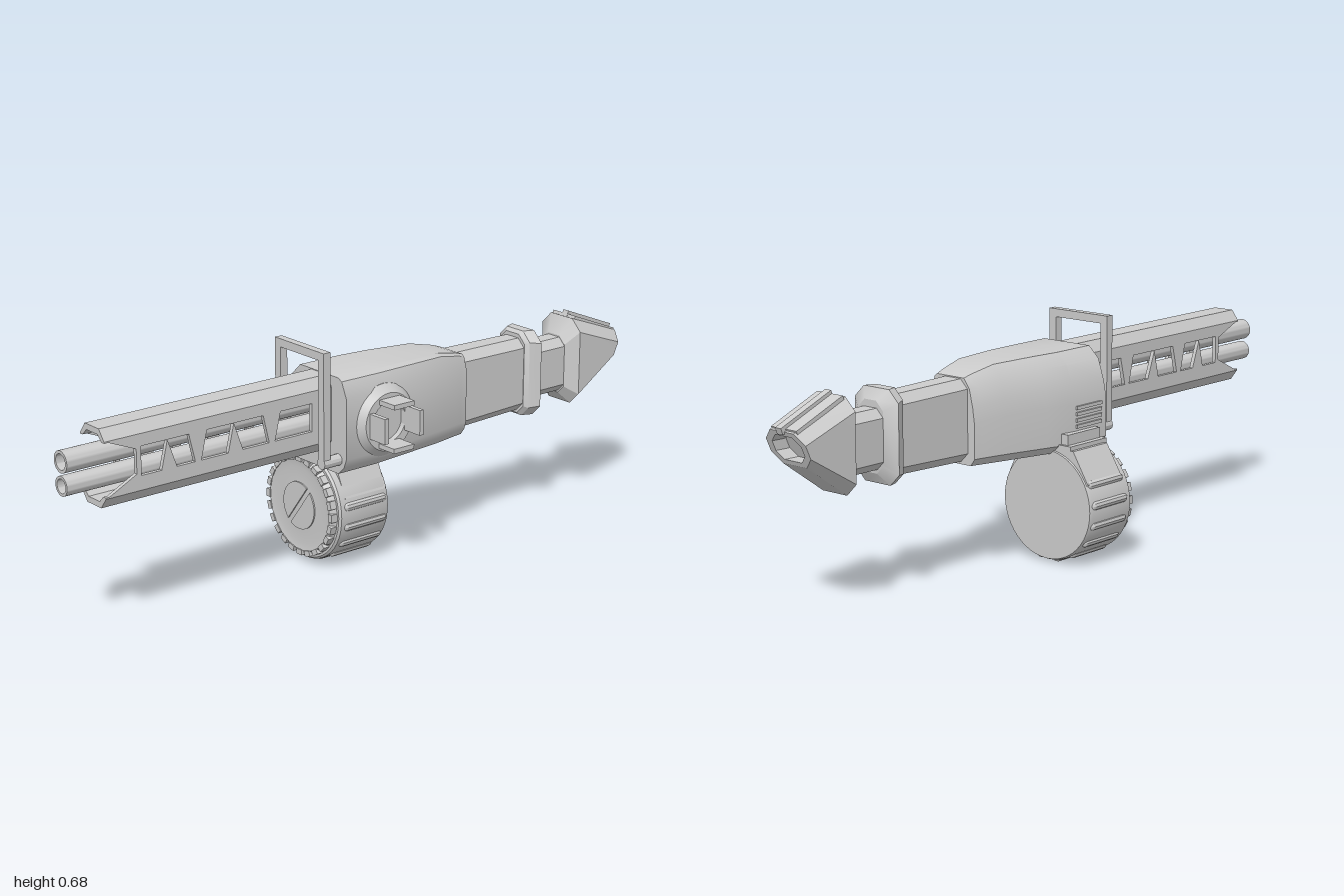
import * as THREE from 'three';
import { toCreasedNormals } from 'three/addons/utils/BufferGeometryUtils.js';

const CX = 0.034; // long axis of barrel, receiver and stock
const material = new THREE.MeshStandardMaterial({ color: 0xcccccc, side: THREE.DoubleSide });

function add(parent, name, geometry, x = 0, y = 0, z = 0) {
  const mesh = new THREE.Mesh(toCreasedNormals(geometry, 0.5), material);
  mesh.name = name;
  mesh.position.set(x, y, z);
  parent.add(mesh);
  return mesh;
}

const box = (w, h, d) => new THREE.BoxGeometry(w, h, d);
const rod = (r, length, sides = 24) => new THREE.CylinderGeometry(r, r, length, sides).rotateX(Math.PI / 2);
const polygon = (pts) => new THREE.Shape(pts.map(([x, y]) => new THREE.Vector2(x, y)));
const extrude = (shape, depth) => new THREE.ExtrudeGeometry(shape, { depth, bevelEnabled: false, curveSegments: 32 });

// Chamfered rectangle, counter-clockwise seen from +z; tilt leans the ring
function ring(z, x0, x1, y0, y1, c, tilt = 0) {
  return [[x1, y0 + c], [x1, y1 - c], [x1 - c, y1], [x0 + c, y1], [x0, y1 - c], [x0, y0 + c], [x0 + c, y0], [x1 - c, y0]]
    .map(([x, y]) => [x, y, z + tilt * (y - (y0 + y1) / 2)]);
}

// Skin between rings ordered from front to back, with end caps
function loft(rings) {
  const p = [];
  const n = rings[0].length;
  for (let i = 0; i < rings.length - 1; i++) {
    for (let k = 0; k < n; k++) {
      const a = rings[i][k], b = rings[i][(k + 1) % n];
      const c = rings[i + 1][k], d = rings[i + 1][(k + 1) % n];
      p.push(...a, ...c, ...b, ...b, ...c, ...d);
    }
  }
  const first = rings[0], last = rings[rings.length - 1];
  for (let k = 1; k < n - 1; k++) {
    p.push(...first[0], ...first[k], ...first[k + 1], ...last[0], ...last[k + 1], ...last[k]);
  }
  const g = new THREE.BufferGeometry();
  g.setAttribute('position', new THREE.Float32BufferAttribute(p, 3));
  return g;
}

function buildReceiver(root) {
  const section = [[0.155, 0.37], [0.155, 0.55], [0.135, 0.595], [0.12, 0.603], [-0.05, 0.603], [-0.085, 0.57],
    [-0.105, 0.51], [-0.115, 0.46], [-0.115, 0.345], [-0.09, 0.321], [0.12, 0.321], [0.145, 0.345]];
  // each row: z, left x, right x, bottom y, top y
  const rows = [[0.14, -0.115, 0.155, 0.321, 0.603], [0, -0.115, 0.155, 0.321, 0.603], [-0.1, -0.1, 0.15, 0.325, 0.603],
    [-0.24, -0.07, 0.135, 0.328, 0.6], [-0.32, -0.052, 0.12, 0.33, 0.583], [-0.345, -0.045, 0.115, 0.33, 0.575]];
  add(root, 'receiver', loft(rows.map(([z, x0, x1, y0, y1]) => section.map(([x, y]) => [
    x0 + (x + 0.115) / 0.27 * (x1 - x0), y0 + (y - 0.321) / 0.282 * (y1 - y0), z]))));
}

function buildBarrels(root) {
  const g = new THREE.Group();
  g.name = 'barrelAssembly';
  root.add(g);
  // side walls with a notched muzzle end and slanted vents
  const wall = polygon([[0.13, 0.415], [0.89, 0.415], [0.8, 0.46], [0.8, 0.53], [0.89, 0.567], [0.13, 0.567]]);
  const vents = [[0.21, 0.34, 0.21, 0.32], [0.36, 0.45, 0.38, 0.48], [0.5, 0.59, 0.48, 0.57], [0.61, 0.67, 0.63, 0.7], [0.72, 0.785, 0.7, 0.785]];
  for (const [a, b, c, d] of vents) wall.holes.push(polygon([[a, 0.453], [b, 0.453], [d, 0.535], [c, 0.535]]));
  for (const x of [CX - 0.056, CX + 0.044]) {
    add(g, 'shroudWall', extrude(wall, 0.012).rotateY(-Math.PI / 2).translate(0.012, 0, 0), x);
  }
  // chamfered channels along the top and bottom
  const channel = polygon([[-0.056, 0], [-0.056, 0.004], [-0.033, 0.035], [0.033, 0.035], [0.056, 0.004], [0.056, 0],
    [0.044, 0], [0.026, 0.018], [-0.026, 0.018], [-0.044, 0]]);
  add(g, 'shroudTop', extrude(channel, 0.77), CX, 0.566, 0.13);
  add(g, 'shroudBottom', extrude(channel, 0.77).rotateZ(Math.PI), CX, 0.416, 0.13);
  // twin barrels with bored muzzles
  for (const [y, r] of [[0.523, 0.031], [0.456, 0.028]]) {
    const pts = [[0, 0.1], [r, 0.1], [r, 1], [r * 0.72, 1], [r * 0.72, 0.93], [0, 0.93]];
    add(g, 'barrel', new THREE.LatheGeometry(pts.map(([a, b]) => new THREE.Vector2(a, b)), 32).rotateX(Math.PI / 2), CX, y);
  }
}

function buildFrontFrame(root) {
  const g = new THREE.Group();
  g.name = 'frontFrame';
  root.add(g);
  const r = 0.0125;
  for (const x of [-0.073, 0.12]) {
    add(g, 'framePost', box(0.025, 0.32, 0.024), x, 0.515, 0.19);
    add(g, 'frameFoot', rod(0.017, 0.07, 12), x, 0.364, 0.167);
  }
  add(g, 'frameTopBar', box(0.218, 0.024, 0.024), 0.0235, 0.675, 0.19);
  add(g, 'frameTopLip', rod(r * 0.6, 0.18, 8).rotateY(Math.PI / 2), 0.0235, 0.668, 0.19);
}

function buildDrum(root) {
  const g = new THREE.Group();
  g.name = 'drumMagazine';
  g.position.set(-0.066, 0.173, 0);
  root.add(g);
  const pts = [[0, -0.065], [0.16, -0.065], [0.164, -0.055], [0.164, 0.11], [0.158, 0.116], [0.15, 0.116],
    [0.137, 0.134], [0.115, 0.13], [0.07, 0.133], [0, 0.133]];
  add(g, 'drumBody', new THREE.LatheGeometry(pts.map(([a, b]) => new THREE.Vector2(a, b)), 48).rotateX(Math.PI / 2));
  // teeth around the front rim
  for (let i = 0; i < 24; i++) {
    const a = i * Math.PI / 12;
    add(g, 'rimTooth', box(0.016, 0.024, 0.026), Math.cos(a) * 0.143, Math.sin(a) * 0.143, 0.124).rotation.z = a;
  }
  // grip ridges on the exposed part of the drum
  for (let i = 0; i < 11; i++) {
    const a = (152 + i * 21.8) * Math.PI / 180;
    add(g, 'gripRidge', new THREE.CapsuleGeometry(0.014, 0.13, 4, 10).rotateX(Math.PI / 2),
      Math.cos(a) * 0.157, Math.sin(a) * 0.157, 0.02);
  }
  // split centre cap
  for (const turn of [0, Math.PI]) {
    const half = new THREE.Shape();
    half.absarc(0, 0, 0.071, 0.11, Math.PI - 0.11, false);
    add(g, 'centreCap', extrude(half, 0.006), 0, 0, 0.131).rotation.z = turn + 0.91;
  }
  // neck and stepped feed chute joining the drum to the receiver
  add(root, 'drumNeck', extrude(polygon([[-0.215, 0.25], [-0.16, 0.34], [0.035, 0.34], [0.09, 0.225], [-0.066, 0.17]]), 0.15), 0, 0, -0.06);
  for (const [x, y, d] of [[-0.15, 0.352, 0.16], [-0.133, 0.382, 0.14]]) {
    add(root, 'feedStep', box(-0.08 - x, y - 0.32, d), (x - 0.08) / 2, (y + 0.32) / 2, 0.02);
  }
  for (let i = 0; i < 4; i++) add(root, 'feedRib', box(0.012, 0.01, 0.11), -0.115, 0.395 + i * 0.018, 0.06);
}

function buildSideSocket(root) {
  const g = new THREE.Group();
  g.name = 'sideSocket';
  g.position.set(0, 0.46, 0);
  root.add(g);
  const pts = [[0.107, 0.14], [0.107, 0.15], [0.085, 0.175], [0.06, 0.175], [0.06, 0.158], [0, 0.158]];
  add(g, 'socketDish', new THREE.LatheGeometry(pts.map(([a, b]) => new THREE.Vector2(a, b)), 40).rotateZ(-Math.PI / 2));
  for (let i = 0; i < 4; i++) {
    const a = i * Math.PI / 2;
    add(g, 'socketProng', box(0.082, 0.014, 0.074), 0.199, Math.cos(a) * 0.064, Math.sin(a) * 0.064).rotation.x = a;
  }
}

function buildStock(root) {
  const g = new THREE.Group();
  g.name = 'stock';
  root.add(g);
  add(g, 'stockTube', loft([ring(-0.33, -0.02, 0.09, 0.337, 0.572, 0.026), ring(-0.62, -0.016, 0.086, 0.345, 0.568, 0.026)]));
  add(g, 'stockCollar', loft([ring(-0.6, -0.018, 0.088, 0.335, 0.58, 0.026), ring(-0.61, -0.03, 0.1, 0.327, 0.59, 0.03),
    ring(-0.642, -0.045, 0.118, 0.327, 0.59, 0.034), ring(-0.665, -0.01, 0.085, 0.36, 0.56, 0.026)]));
  add(g, 'stockNeck', loft([ring(-0.65, -0.01, 0.085, 0.372, 0.54, 0.024), ring(-0.79, -0.01, 0.085, 0.372, 0.54, 0.024)]));
  // wedge-shaped end with a recessed rear opening
  add(g, 'stockEnd', loft([ring(-0.77, -0.01, 0.085, 0.365, 0.545, 0.024), ring(-0.802, -0.045, 0.118, 0.33, 0.597, 0.036),
    ring(-0.966, -0.038, 0.111, 0.43, 0.528, 0.03, -0.45), ring(-0.966, -0.018, 0.09, 0.443, 0.515, 0.022, -0.45),
    ring(-0.92, -0.015, 0.087, 0.443, 0.515, 0.022, -0.45)]));
  // sloped plate and rib on top of the wedge
  const slope = Math.atan2(0.07, 0.175);
  add(g, 'endPlate', box(0.095, 0.012, 0.18), CX, 0.563, -0.897).rotation.x = -slope;
  add(g, 'endRib', box(0.022, 0.02, 0.195), CX + 0.004, 0.566, -0.905).rotation.x = -slope;
}

export function createModel() {
  const root = new THREE.Group();
  root.name = 'twinBarrelBlaster';
  buildReceiver(root);
  buildBarrels(root);
  buildFrontFrame(root);
  buildDrum(root);
  buildSideSocket(root);
  buildStock(root);
  return root;
}
